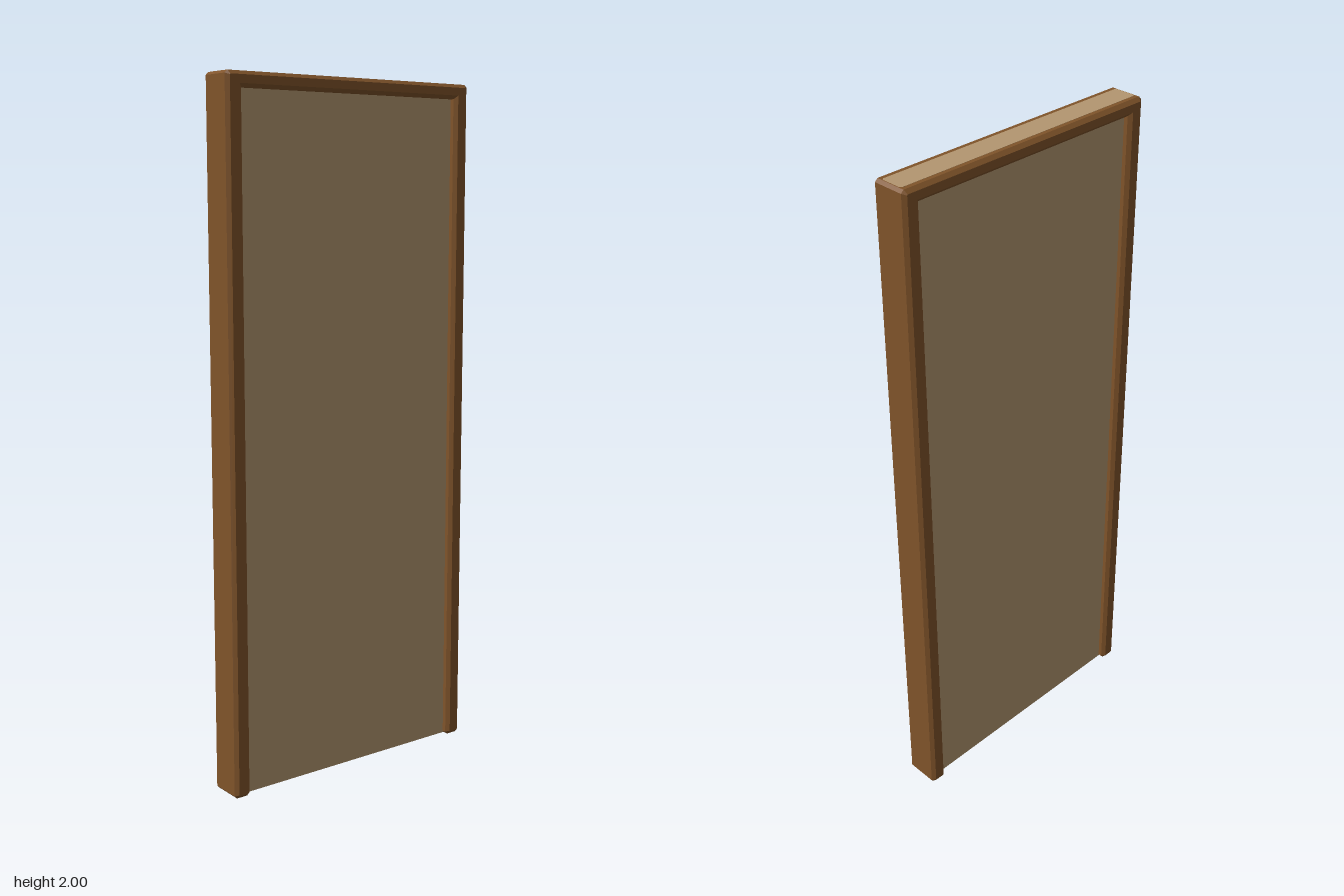
import * as THREE from 'three';

const frameWood = new THREE.MeshStandardMaterial({ color: 0x80542a });
frameWood.name = 'frameWood';
const panelWood = new THREE.MeshStandardMaterial({ color: 0xb39670 });
panelWood.name = 'panelWood';

const shapeOf = (points) => new THREE.Shape(points.map(([x, y]) => new THREE.Vector2(x, y)));

export function createModel() {
  const group = new THREE.Group();
  const W = 0.42, H = 1.9995, D = 0.056; // frame half width, height, half depth
  const IN = 0.37, HEAD = 1.957, B = 0.01; // opening half width, opening top, chamfer
  const C = 0.008; // clipped outline corners

  // Jambs and head: one U-shaped outline, mirrored across x = 0
  const half = [
    [IN, HEAD], [IN, C], [IN + C, 0], [W - C, 0], [W, C], [W, H - C], [W - C, H],
  ];
  const outline = [...half, ...half.map(([x, y]) => [-x, y]).reverse()];
  const frameGeometry = new THREE.ExtrudeGeometry(shapeOf(outline), {
    depth: 2 * (D - B), bevelEnabled: true, bevelThickness: B,
    bevelSize: B, bevelOffset: -B, bevelSegments: 1,
  });
  frameGeometry.translate(0, 0, -(D - B));
  const frame = new THREE.Mesh(frameGeometry, frameWood);
  frame.name = 'doorFrame';
  group.add(frame);

  // Door panel: clipped rectangle run up through the head
  const PX = 0.41, PZ = 0.034, K = 0.005;
  const section = [
    [PX, -PZ + K], [PX, PZ - K], [PX - K, PZ], [-PX + K, PZ],
    [-PX, PZ - K], [-PX, -PZ + K], [-PX + K, -PZ], [PX - K, -PZ],
  ];
  const panelGeometry = new THREE.ExtrudeGeometry(shapeOf(section), {
    depth: 1.997, bevelEnabled: false,
  });
  panelGeometry.rotateX(-Math.PI / 2).translate(0, 0.003, 0);
  const panel = new THREE.Mesh(panelGeometry, panelWood);
  panel.name = 'doorPanel';
  group.add(panel);

  return group;
}
